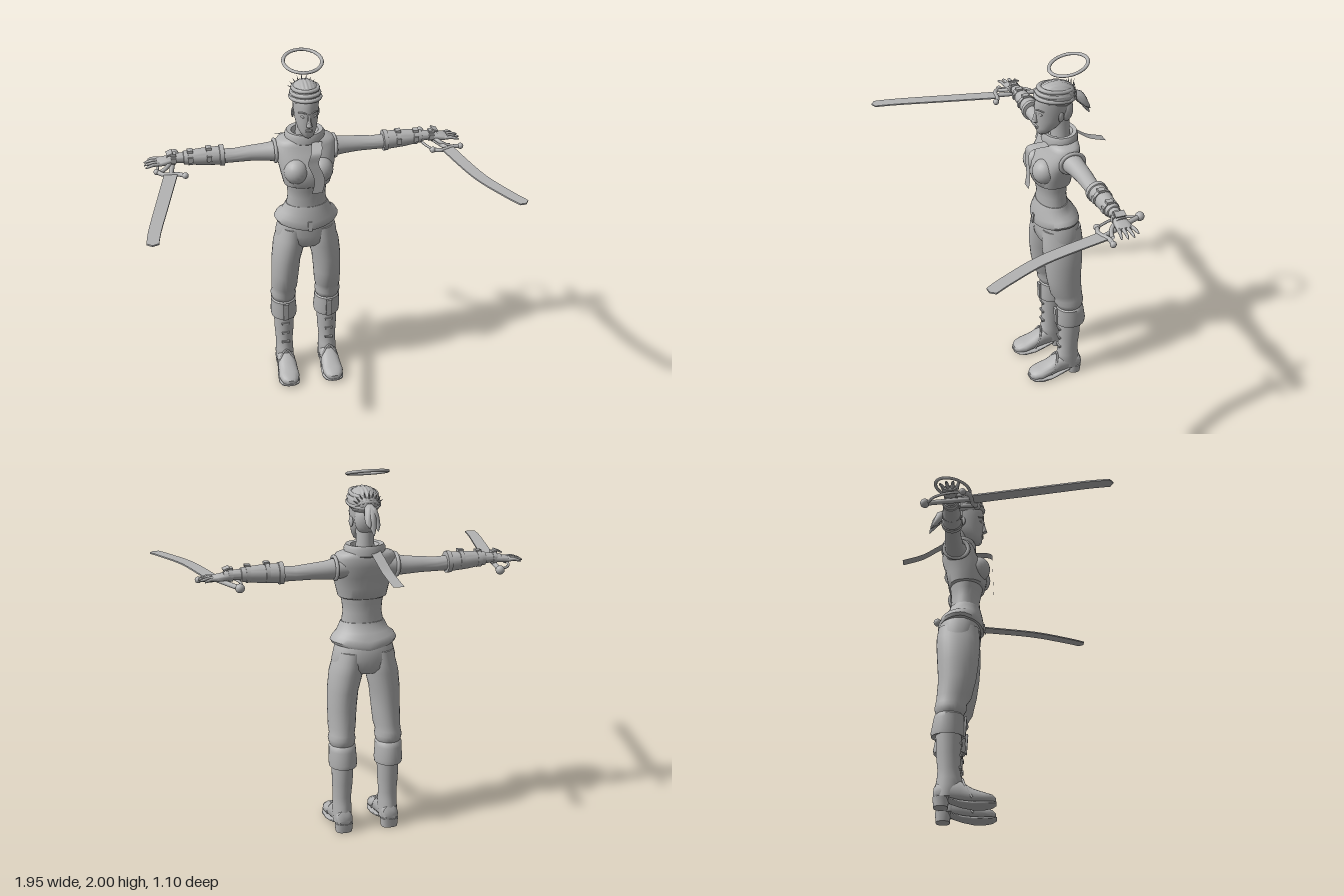
import * as THREE from 'three';
import { toCreasedNormals } from 'three/addons/utils/BufferGeometryUtils.js';

const grey = new THREE.MeshStandardMaterial({ color: 0xb3b3b3, side: THREE.DoubleSide });
grey.name = 'clay grey';
const V = (x, y, z) => new THREE.Vector3(x, y, z);

function add(parent, name, geo, pos = [0, 0, 0], rot = [0, 0, 0], scale = [1, 1, 1]) {
  const m = new THREE.Mesh(geo, grey);
  m.name = name;
  m.position.set(...pos);
  m.rotation.set(...rot);
  m.scale.set(...scale);
  parent.add(m);
  return m;
}

// Skin rounded cross-sections [t, a, b, ra, rb] along an axis.
// axis y: a=x b=z, axis x: a=z b=y, axis z: a=y b=x; power squares the ring.
function loft(rings, axis = 'y', n = 28, power = 2, warp = null) {
  const pos = [], idx = [];
  const put = (t, a, b) => {
    const v = axis === 'y' ? V(a, t, b) : axis === 'x' ? V(t, b, a) : V(b, a, t);
    if (warp) warp(v);
    pos.push(v.x, v.y, v.z);
  };
  const sq = (v) => Math.sign(v) * Math.abs(v) ** (2 / power);
  rings.forEach(([t, a, b, ra, rb]) => {
    for (let i = 0; i < n; i++) {
      const q = (i / n) * Math.PI * 2;
      put(t, a + ra * sq(Math.cos(q)), b + rb * sq(Math.sin(q)));
    }
  });
  for (let k = 0; k < rings.length - 1; k++)
    for (let i = 0; i < n; i++) {
      const p = k * n + i, q = k * n + (i + 1) % n;
      idx.push(p, p + n, q, q, p + n, q + n);
    }
  const last = rings.length - 1, base = rings.length * n;
  put(...rings[0]);
  put(...rings[last]);
  for (let i = 0; i < n; i++) {
    const j = (i + 1) % n;
    idx.push(base, i, j, base + 1, last * n + j, last * n + i);
  }
  const g = new THREE.BufferGeometry();
  g.setAttribute('position', new THREE.Float32BufferAttribute(pos, 3));
  g.setIndex(idx);
  return toCreasedNormals(g, 0.75);
}

const tube = (pts, r, n = 16) =>
  new THREE.TubeGeometry(new THREE.CatmullRomCurve3(pts.map((p) => V(...p))), n, r, 8);
const ball = (r) => new THREE.SphereGeometry(r, 20, 14);

// Thin ribbon following a centre line, width across x
function ribbon(pts, w) {
  const c = new THREE.CatmullRomCurve3(pts.map((p) => V(...p)));
  const g = new THREE.PlaneGeometry(1, 1, 2, 20), p = g.attributes.position;
  for (let i = 0; i < p.count; i++) {
    const q = c.getPoint(0.5 - p.getY(i));
    p.setXYZ(i, q.x + p.getX(i) * w, q.y, q.z);
  }
  g.computeVertexNormals();
  return g;
}

function buildTorso(g) {
  // Bodice, with flared peplum below the waist
  add(g, 'bodice', loft([[1.13, 0, -.205, .12, .085], [1.22, 0, -.203, .105, .078], [1.27, 0, -.2, .11, .084],
    [1.33, 0, -.197, .122, .095]]));
  add(g, 'peplum', loft([[1.035, 0, -.225, .172, .125], [1.05, 0, -.225, .181, .128], [1.08, 0, -.222, .166, .122],
    [1.12, 0, -.212, .142, .105], [1.155, 0, -.205, .125, .089], [1.17, 0, -.205, .117, .085]], 'y', 36, 2, (v) => {
    if (v.y < 1.1) v.y += Math.abs(v.x) * .15 - (v.z > -.2 ? .005 : 0);
  }));
  add(g, 'peplumNotch', new THREE.BoxGeometry(.022, .055, .008), [0, 1.06, -.096], [-.12, 0, 0]);
  // Cropped jacket
  add(g, 'jacket', loft([[1.3, 0, -.197, .12, .094], [1.305, 0, -.197, .129, .1], [1.36, 0, -.196, .142, .11],
    [1.42, 0, -.205, .155, .112], [1.48, 0, -.235, .166, .1], [1.525, 0, -.242, .167, .092],
    [1.545, 0, -.245, .15, .085], [1.56, 0, -.245, .1, .075]], 'y', 36, 2.4));
  for (const s of [-1, 1]) add(g, 'bust', ball(.068), [s * .068, 1.395, -.135], [0, 0, 0], [1, 1.05, 1]);
  // Scarf collar and its two tails
  add(g, 'collar', loft([[1.53, 0, -.245, .09, .085], [1.54, 0, -.245, .108, .098], [1.575, 0, -.245, .11, .097],
    [1.592, 0, -.245, .1, .09], [1.588, 0, -.245, .075, .07], [1.56, 0, -.245, .06, .06]]));
  add(g, 'scarfFrontTail', ribbon([[.05, 1.55, -.155], [.03, 1.53, -.062], [.012, 1.47, -.055], [.035, 1.41, -.052],
    [.045, 1.36, -.05], [.03, 1.295, -.047]], .058));
  add(g, 'scarfBackTail', ribbon([[-.03, 1.57, -.32], [-.045, 1.53, -.37], [-.065, 1.475, -.44],
    [-.09, 1.425, -.55]], .058));
  add(g, 'hips', loft([[.9, 0, -.235, .1, .09], [.93, 0, -.235, .172, .112], [.98, 0, -.236, .172, .119],
    [1.05, 0, -.232, .155, .116], [1.1, 0, -.22, .13, .1]], 'y', 32, 2.2));
}

function buildHead(g) {
  add(g, 'neck', loft([[1.53, 0, -.25, .055, .056], [1.6, 0, -.25, .047, .05], [1.7, 0, -.24, .045, .055]]));
  add(g, 'head', loft([[1.592, 0, -.143, .016, .018], [1.603, 0, -.15, .032, .034], [1.635, 0, -.172, .05, .06],
    [1.68, 0, -.195, .061, .086], [1.73, 0, -.205, .066, .1], [1.775, 0, -.207, .069, .102],
    [1.83, 0, -.21, .066, .095], [1.86, 0, -.21, .045, .07]], 'y', 32));
  add(g, 'nose', loft([[1.664, 0, -.11, .012, .012], [1.672, 0, -.104, .016, .02], [1.7, 0, -.107, .009, .012],
    [1.74, 0, -.112, .008, .01]], 'y', 12));
  add(g, 'upperLip', ball(.02), [0, 1.644, -.115], [0, 0, 0], [1, .28, .5]);
  add(g, 'lowerLip', ball(.018), [0, 1.634, -.116], [0, 0, 0], [1, .32, .5]);
  for (const s of [-1, 1]) {
    add(g, 'eye', ball(.014), [s * .03, 1.722, -.122], [0, s * .3, 0], [1, .5, .6]);
    add(g, 'eyebrow', tube([[s * .012, 1.742, -.107], [s * .032, 1.75, -.112], [s * .052, 1.742, -.135]], .004));
    add(g, 'ear', ball(.026), [s * .068, 1.705, -.225], [0, s * .3, 0], [.3, 1.1, .7]);
  }
  // Combed hair with ridges running front to back
  const hair = new THREE.SphereGeometry(1, 64, 24), p = hair.attributes.position;
  for (let i = 0; i < p.count; i++) {
    const x = p.getX(i), y = p.getY(i), z = p.getZ(i), k = 1 + .025 * Math.cos(x * 26);
    p.setXYZ(i, x * .082 * k, y * (y > 0 ? .078 : .065) * k, z * .11 * k);
  }
  hair.computeVertexNormals();
  add(g, 'hair', hair, [0, 1.808, -.222], [-.12, 0, 0]);
  add(g, 'napeHair', ball(1), [0, 1.72, -.265], [0, 0, 0], [.06, .08, .05]);
  // Rolled locks around the hairline
  [1.8, 1.825, 1.85].forEach((y, i) => add(g, 'hairRoll', new THREE.TorusGeometry(.079 - i * .006, .011, 8, 40),
    [0, y, -.215], [Math.PI / 2 - .12, 0, 0], [1, 1.32, 1]));
  // Comb crown at the back of the hair
  for (let i = 0; i < 9; i++) {
    const a = (i - 4) * .32, long = .075 - Math.abs(i - 4) * .004;
    const x = Math.sin(a) * .06, y = 1.8 + Math.cos(a) * .045;
    add(g, 'crownSpike', new THREE.ConeGeometry(.009, long, 6), [x, y, -.318 + Math.abs(x) * .3], [-.12, 0, -a * .75]);
  }
  add(g, 'crownBand', tube([[-.07, 1.79, -.27], [-.045, 1.81, -.305], [0, 1.82, -.322], [.045, 1.81, -.305],
    [.07, 1.79, -.27]], .009));
  // Ponytail locks
  [[-.025, .02, .012], [.022, .035, .005], [0, 0, 0]].forEach(([x, up, back]) => add(g, 'ponytailLock', loft([
    [1.665 + up, x, -.413 + back, .003, .003], [1.7 + up * .6, x, -.395 + back, .016, .016],
    [1.75, x * .8, -.373 + back, .022, .026], [1.79, x * .5, -.345, .02, .03], [1.812, 0, -.318, .012, .02]], 'y', 12)));
  // Floating ring
  add(g, 'halo', new THREE.TorusGeometry(.103, .01, 10, 56), [0, 1.967, -.287], [Math.PI / 2 + .24, 0, 0], [1, 1, .8]);
}

function buildArm() {
  const g = new THREE.Group();
  add(g, 'sleeve', loft([[.1, -.25, 1.475, .065, .058], [.165, -.255, 1.468, .058, .055], [.22, -.262, 1.465, .05, .048],
    [.3, -.265, 1.464, .045, .042], [.38, -.265, 1.46, .041, .038], [.47, -.265, 1.462, .042, .04]], 'x'));
  add(g, 'armholeTrim', new THREE.TorusGeometry(.058, .01, 8, 32), [.165, 1.472, -.253], [0, Math.PI / 2, 0], [1.15, 1, 1]);
  add(g, 'bracer', loft([[.44, -.265, 1.467, .045, .045], [.442, -.265, 1.467, .057, .058], [.466, -.265, 1.467, .057, .057],
    [.468, -.265, 1.467, .05, .051], [.56, -.265, 1.47, .046, .047], [.66, -.265, 1.473, .037, .036],
    [.662, -.265, 1.473, .03, .03]], 'x'));
  add(g, 'wrist', loft([[.64, -.265, 1.473, .031, .031], [.7, -.265, 1.474, .029, .026], [.75, -.265, 1.472, .034, .021]], 'x'));
  // Straps and buckles
  for (const [x, r] of [[.525, .051], [.625, .043], [.715, .032]]) {
    add(g, 'strap', loft([[x - .011, -.265, 1.472, r, r], [x + .011, -.265, 1.472, r, r]], 'x'));
    add(g, 'buckle', new THREE.BoxGeometry(.03, .014, .036), [x, 1.472 + r, -.255]);
    add(g, 'sideBuckle', new THREE.BoxGeometry(.026, .03, .012), [x, 1.475, -.265 + r]);
  }
  add(g, 'wristFlap', new THREE.BoxGeometry(.035, .008, .055), [.735, 1.51, -.262], [0, 0, -.35]);
  // Open hand
  add(g, 'palm', loft([[.71, -.265, 1.472, .03, .02], [.74, -.263, 1.468, .038, .02], [.79, -.263, 1.463, .043, .016],
    [.805, -.263, 1.462, .04, .012]], 'x', 20, 2.6));
  [[.032, .083, .026], [.011, .09, .009], [-.011, .088, -.01], [-.032, .066, -.028]].forEach(([dz, len, fan], i) => {
    const z = -.263 + dz, x = .785, y = 1.464;
    add(g, 'finger' + (i + 1), loft([[x, z, y, .0105, .0105], [x + len * .5, z + fan * .3, y + .002, .009, .0095],
      [x + len * .85, z + fan * .55, y - .004, .0075, .0075], [x + len, z + fan * .65, y - .008, .003, .003]], 'x', 10));
  });
  add(g, 'thumb', tube([[.735, 1.462, -.238], [.76, 1.45, -.208], [.79, 1.437, -.195], [.81, 1.434, -.194]], .011));
  return g;
}

function buildLeg() {
  const g = new THREE.Group();
  add(g, 'trouserLeg', loft([[1.02, .08, -.235, .076, .11], [.95, .09, -.236, .084, .117], [.9, .098, -.235, .09, .117],
    [.8, .116, -.235, .082, .11], [.7, .122, -.238, .078, .1], [.6, .126, -.252, .074, .092], [.56, .13, -.267, .068, .082],
    [.535, .131, -.268, .074, .086], [.51, .13, -.272, .07, .076], [.49, .13, -.275, .06, .065]].reverse()));
  add(g, 'trouserCuff', loft([[.385, .128, -.282, .06, .068], [.378, .128, -.282, .074, .085], [.4, .128, -.282, .077, .088],
    [.47, .13, -.278, .073, .08], [.492, .13, -.275, .073, .078], [.505, .13, -.275, .06, .066]]));
  add(g, 'cuffTab', new THREE.BoxGeometry(.032, .11, .012), [.128, .435, -.192], [.06, 0, 0]);
  add(g, 'cuffButton', ball(.012), [.128, .475, -.19], [0, 0, 0], [1, 1, .6]);
  // Boot
  add(g, 'bootShaft', loft([[.05, .13, -.285, .05, .058], [.11, .13, -.268, .053, .073], [.15, .13, -.269, .051, .064],
    [.2, .13, -.272, .05, .058], [.28, .129, -.275, .056, .064], [.4, .128, -.276, .06, .068]]));
  add(g, 'bootFoot', loft([[-.347, .07, .13, .03, .03], [-.335, .075, .13, .05, .043], [-.27, .085, .13, .058, .05],
    [-.21, .08, .13, .058, .052], [-.15, .058, .131, .04, .056], [-.09, .044, .132, .032, .06],
    [-.05, .039, .132, .026, .047], [-.032, .035, .132, .014, .026]], 'z', 24, 2.3));
  add(g, 'bootSole', loft([[-.27, .04, .13, .008, .048], [-.21, .022, .13, .01, .052], [-.15, .012, .131, .011, .06],
    [-.09, .012, .132, .011, .063], [-.05, .016, .132, .01, .051], [-.028, .022, .132, .006, .026]], 'z', 24, 3));
  add(g, 'bootHeel', loft([[0, .13, -.31, .045, .037], [.05, .13, -.31, .049, .042]], 'y', 24, 2.6));
  add(g, 'bootInstepSeam', tube([[.076, .04, -.15], [.088, .1, -.185], [.13, .155, -.203], [.172, .1, -.185],
    [.184, .04, -.15]], .006));
  for (const y of [.21, .275, .34]) add(g, 'bootStrap', new THREE.BoxGeometry(.045, .012, .014), [.13, y, -.212]);
  return g;
}

// Sabre lying flat; pommel and blade centre line given as [x, z]
function buildSword(pommel, line) {
  const g = new THREE.Group(), y = 1.436;
  const c = new THREE.SplineCurve(line.map((p) => new THREE.Vector2(...p))), near = [], far = [];
  for (let i = 0; i <= 16; i++) {
    const t = i / 16 * .93, p = c.getPoint(t), d = c.getTangent(t), w = .036 - .006 * t;
    near.push(new THREE.Vector2(p.x - d.y * w, p.y + d.x * w));
    far.unshift(new THREE.Vector2(p.x + d.y * w, p.y - d.x * w));
  }
  const shape = new THREE.Shape([...near, c.getPoint(1), ...far]);
  const geo = new THREE.ExtrudeGeometry(shape, { depth: .008, bevelEnabled: false });
  geo.rotateX(Math.PI / 2);
  add(g, 'blade', geo, [0, y + .004, 0]);
  const [gx, gz] = line[0], [px, pz] = pommel, len = Math.hypot(gx - px, gz - pz);
  // Hilt, built along +z from the pommel
  const hilt = new THREE.Group();
  hilt.name = 'hilt';
  hilt.position.set(px, y, pz);
  hilt.rotation.y = Math.atan2(gx - px, gz - pz);
  add(hilt, 'grip', new THREE.CylinderGeometry(.013, .013, len, 12), [0, 0, len / 2], [Math.PI / 2, 0, 0]);
  add(hilt, 'pommel', ball(.024), [0, 0, 0]);
  add(hilt, 'crossguard', tube([[-.075, 0, len - .03], [-.04, 0, len], [.04, 0, len], [.075, 0, len + .015]], .012));
  for (const s of [-1, 1]) add(hilt, 'guardEnd', ball(.017), [s * .078, 0, len + (s > 0 ? .016 : -.03)]);
  add(hilt, 'knuckleBow', tube([[-.075, 0, len - .03], [-.075, 0, len * .55], [-.05, 0, len * .25], [0, 0, .01]], .007));
  g.add(hilt);
  return g;
}

export function createModel() {
  const root = new THREE.Group(), body = new THREE.Group();
  root.name = 'swordFighter';
  body.name = 'figure';
  body.position.x = -.05;
  root.add(body);
  buildTorso(body);
  buildHead(body);
  for (const [side, s] of [['left', 1], ['right', -1]]) {
    const arm = buildArm(), leg = buildLeg();
    arm.name = side + 'Arm';
    leg.name = side + 'Leg';
    arm.scale.x = leg.scale.x = s;
    body.add(arm, leg);
  }
  const left = buildSword([.64, -.395], [[.735, -.157], [.807, .183], [.9, .41], [.956, .517]]);
  const right = buildSword([-.75, -.395], [[-.79, -.157], [-.87, .183], [-.925, .42], [-.946, .55]]);
  left.name = 'leftSword';
  right.name = 'rightSword';
  root.add(left, right);
  return root;
}
